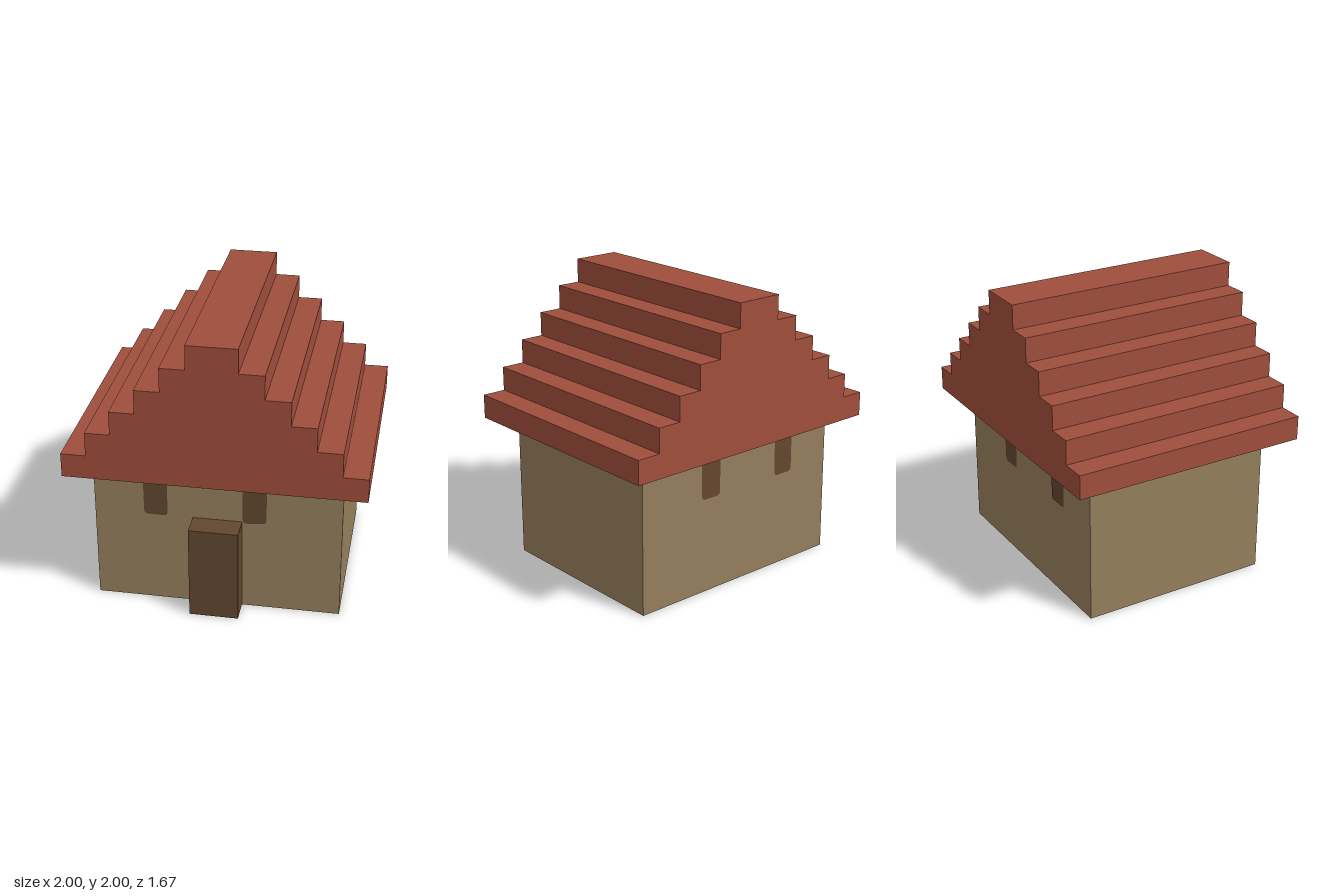
import * as THREE from 'three';

const U = 1 / 6; // building grid unit

const material = (name, color) => {
  const m = new THREE.MeshStandardMaterial({ color });
  m.name = name;
  return m;
};

export function createModel() {
  const house = new THREE.Group();
  house.name = 'house';
  const wallTan = material('wall tan', 0x957f5d);
  const roofRed = material('roof red', 0x9f4e3b);
  const woodBrown = material('wood brown', 0x63472e);

  const add = (name, geometry, mat, x, y, z) => {
    const mesh = new THREE.Mesh(geometry, mat);
    mesh.name = name;
    mesh.position.set(x, y, z);
    house.add(mesh);
    return mesh;
  };

  // Walls and the door block standing in front of them
  add('walls', new THREE.BoxGeometry(10 * U, 6 * U, 8 * U), wallTan, 0, 3 * U, 0);
  add('door', new THREE.BoxGeometry(2 * U, 4 * U, U), woodBrown, 0, 2 * U, 4.5 * U);

  // Roof: one stepped gable profile, run from front to back
  const right = [];
  for (let i = 0; i < 6; i++) {
    right.push([(6 - i) * U, i * U], [(6 - i) * U, (i + 1) * U]);
  }
  const left = right.map(([x, y]) => [-x, y]).reverse();
  const gable = new THREE.Shape([...right, ...left].map(([x, y]) => new THREE.Vector2(x, y)));
  const roof = new THREE.ExtrudeGeometry(gable, { depth: 10 * U, bevelEnabled: false });
  add('roof', roof, roofRed, 0, 1, -5 * U);

  // Painted windows: flared under the eaves, rounded at the sill
  const windowShape = (sillLeft) => {
    const s = new THREE.Shape();
    s.moveTo(-0.095, 0);
    s.quadraticCurveTo(-0.083, -0.025, -0.082, -0.07);
    s.lineTo(-0.08, sillLeft + 0.03);
    s.quadraticCurveTo(-0.08, sillLeft, -0.05, sillLeft);
    s.lineTo(0.055, -0.333);
    s.quadraticCurveTo(0.08, -0.333, 0.08, -0.3);
    s.lineTo(0.08, -0.07);
    s.quadraticCurveTo(0.083, -0.025, 0.093, 0);
    return s;
  };
  for (const side of [1, -1]) {
    for (const x of [-2.5 * U, 1.5 * U]) {
      const sill = side > 0 && x > 0 ? -0.342 : -0.333;
      const pane = add(side > 0 ? 'frontWindow' : 'backWindow',
        new THREE.ShapeGeometry(windowShape(sill), 4), woodBrown, x, 1, side * (4 * U + 0.004));
      if (side < 0) pane.rotation.y = Math.PI;
    }
  }
  return house;
}
